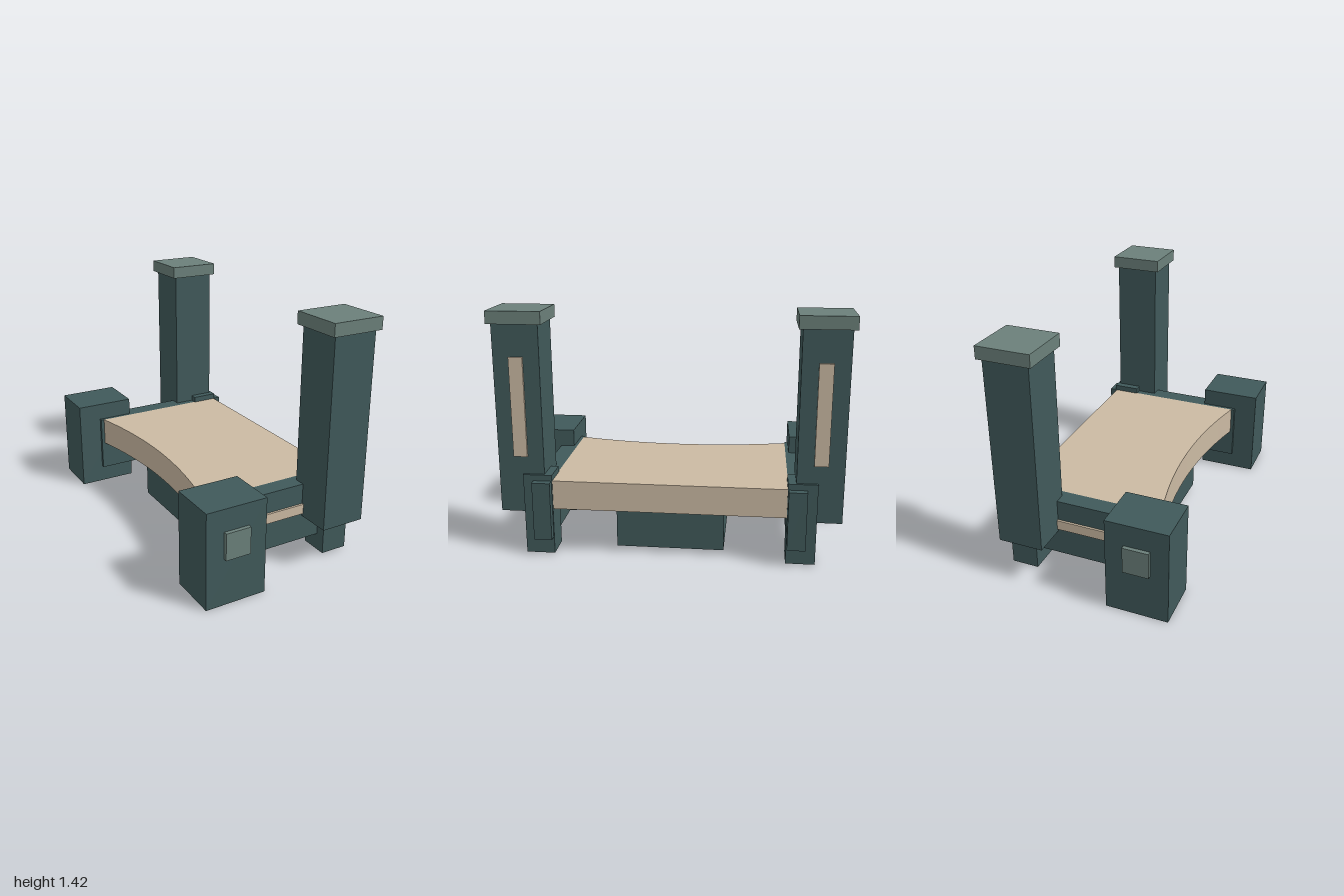
import * as THREE from 'three';

const flat = (name, color) => {
  const m = new THREE.MeshStandardMaterial({ color });
  m.name = name;
  return m;
};

export function createModel() {
  const teal = flat('dark teal', 0x40595a);
  const grey = flat('sage grey', 0x6b807a);
  const tan = flat('warm tan', 0xcbbaa3);

  const model = new THREE.Group();
  model.name = 'model';

  // Box given by its extents on each axis
  const addBox = (parent, name, material, [x0, x1], [y0, y1], [z0, z1]) => {
    const geo = new THREE.BoxGeometry(x1 - x0, y1 - y0, z1 - z0);
    const mesh = new THREE.Mesh(geo, material);
    mesh.position.set((x0 + x1) / 2, (y0 + y1) / 2, (z0 + z1) / 2);
    mesh.name = name;
    parent.add(mesh);
  };

  // Side parts: name, material, x range, y range, z range measured outward
  const sideParts = [
    ['endBlock', teal, [-0.53, -0.173], [0, 0.555], [0.69, 0.978]],
    ['blockBoss', grey, [-0.427, -0.28], [0.273, 0.427], [0.95, 1.0]],
    ['sideRail', teal, [-0.39, 0.527], [0.105, 0.45], [0.67, 0.774]],
    ['railStripe', tan, [-0.117, 0.26], [0.272, 0.33], [0.77, 0.787]],
    ['foot', teal, [0.325, 0.485], [0.006, 0.485], [0.666, 0.832]],
    ['post', teal, [0.207, 0.469], [0.255, 1.345], [0.711, 0.973]],
    ['postCap', grey, [0.183, 0.491], [1.345, 1.417], [0.688, 0.995]],
    ['postStripe', tan, [0.46, 0.481], [0.59, 1.163], [0.803, 0.882]],
  ];
  for (const side of [1, -1]) {
    const group = new THREE.Group();
    group.name = side > 0 ? 'frontSide' : 'backSide';
    for (const [name, mat, x, y, z] of sideParts) {
      addBox(group, name, mat, x, y, side > 0 ? z : [-z[1], -z[0]]);
    }
    model.add(group);
  }

  // Deck slab with one concave edge
  const outline = new THREE.Shape();
  outline.moveTo(0.479, -0.67);
  outline.lineTo(0.479, 0.67);
  outline.lineTo(-0.37, 0.67);
  outline.quadraticCurveTo(-0.2, 0, -0.37, -0.67);
  outline.closePath();
  const deckGeo = new THREE.ExtrudeGeometry(outline, { depth: 0.17, bevelEnabled: false, curveSegments: 24 });
  deckGeo.rotateX(-Math.PI / 2);
  const deck = new THREE.Mesh(deckGeo, tan);
  deck.position.y = 0.28;
  deck.name = 'deck';
  model.add(deck);

  // Box hung beneath the deck
  addBox(model, 'underBox', teal, [-0.23, 0.4], [0.03, 0.27], [-0.312, 0.312]);

  return model;
}
